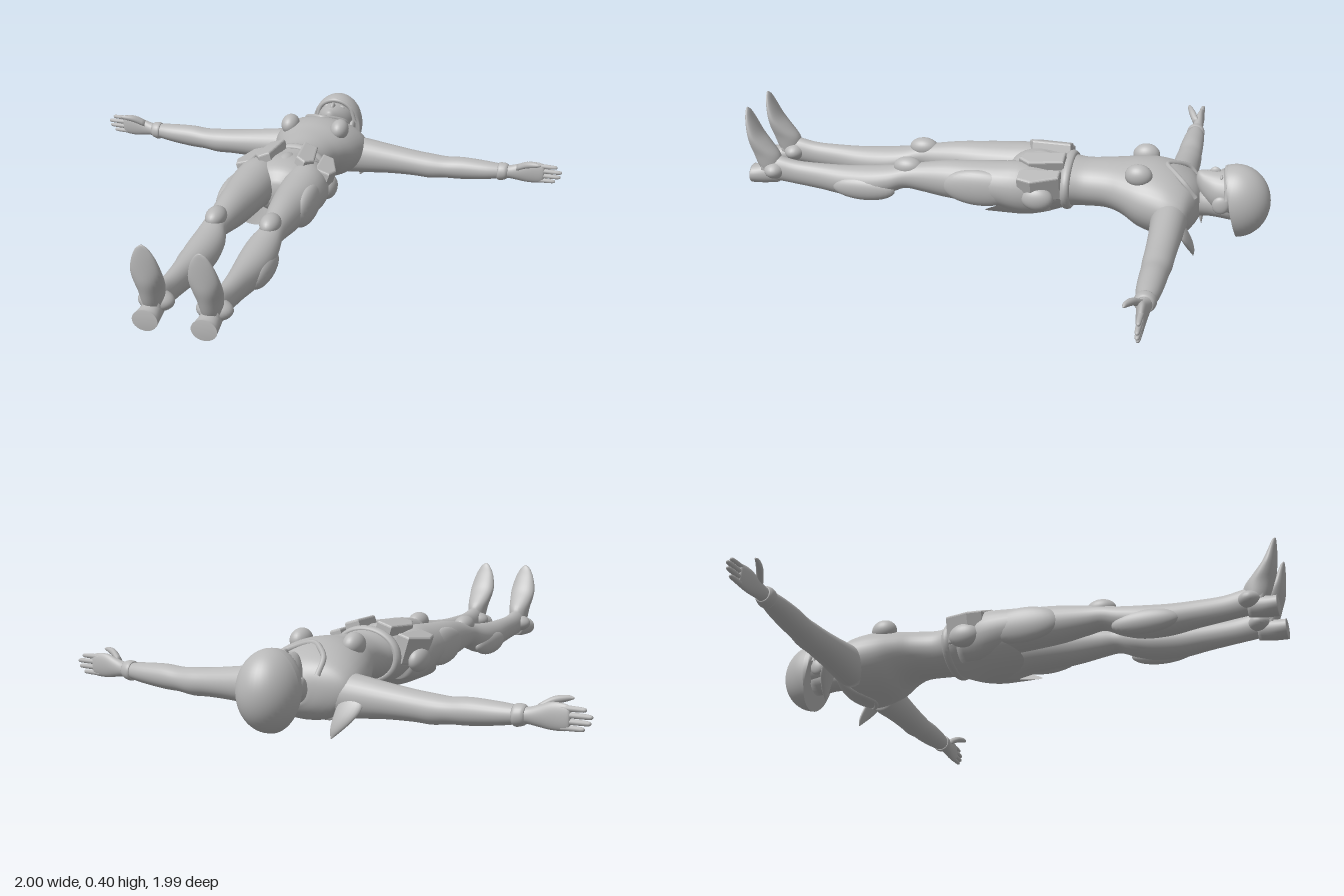
import * as THREE from 'three';

const suit = new THREE.MeshStandardMaterial({ color: 0xb8b8b8 });
suit.name = 'plainGrey';
const sheet = new THREE.MeshStandardMaterial({ color: 0xb8b8b8, side: THREE.DoubleSide });
sheet.name = 'plainGreySheet';

// Smooth closed loft along an axis; rows are [t, a, b, radiusA, radiusB] with t increasing.
// axis z: a=x b=y, axis x: a=y b=z, axis y: a=z b=x
function loft(rows, axis = 'z', sides = 28, sub = 4) {
  const centres = new THREE.CatmullRomCurve3(rows.map(r => new THREE.Vector3(r[0], r[1], r[2])), false, 'catmullrom', 0.5);
  const radii = new THREE.CatmullRomCurve3(rows.map(r => new THREE.Vector3(r[3], r[4], 0)), false, 'catmullrom', 0.5);
  const n = (rows.length - 1) * sub, pos = [], idx = [];
  const put = (t, a, b) => {
    if (axis === 'z') pos.push(a, b, t);
    else if (axis === 'x') pos.push(t, a, b);
    else pos.push(b, t, a);
  };
  for (let i = 0; i <= n; i++) {
    const c = centres.getPoint(i / n), r = radii.getPoint(i / n);
    for (let j = 0; j < sides; j++) {
      const th = j / sides * Math.PI * 2;
      put(c.x, c.y + r.x * Math.cos(th), c.z + r.y * Math.sin(th));
    }
  }
  const first = rows[0], last = rows[rows.length - 1], p0 = (n + 1) * sides;
  put(first[0], first[1], first[2]);
  put(last[0], last[1], last[2]);
  for (let j = 0; j < sides; j++) {
    const k = (j + 1) % sides;
    for (let i = 0; i < n; i++) {
      const a = i * sides + j, b = i * sides + k;
      idx.push(a, b, b + sides, a, b + sides, a + sides);
    }
    idx.push(p0, k, j, p0 + 1, n * sides + j, n * sides + k);
  }
  const g = new THREE.BufferGeometry();
  g.setAttribute('position', new THREE.Float32BufferAttribute(pos, 3));
  g.setIndex(idx);
  g.computeVertexNormals();
  return g;
}

function ball(x, y, z, rx, ry, rz) {
  return new THREE.SphereGeometry(1, 28, 18).scale(rx, ry, rz).translate(x, y, z);
}

function tube(points, r) {
  return new THREE.TubeGeometry(new THREE.CatmullRomCurve3(points.map(p => new THREE.Vector3(...p))), 28, r, 8);
}

// Bevelled plate drawn in x,z; its top lies at height y and tilts about the z axis
function plate(points, y, depth, tilt) {
  const shape = new THREE.Shape(points.map(p => new THREE.Vector2(...p)));
  const g = new THREE.ExtrudeGeometry(shape, { depth, bevelSize: 0.008, bevelThickness: 0.008, bevelSegments: 3 });
  g.rotateX(Math.PI / 2);
  const cx = points.reduce((s, p) => s + p[0], 0) / points.length;
  return g.translate(-cx, 0, 0).rotateZ(tilt).translate(cx, y, 0);
}

function mirrored(g) {
  const m = g.clone().scale(-1, 1, 1);
  if (!m.index) m.setIndex([...Array(m.attributes.position.count).keys()]);
  const a = m.index.array;
  for (let i = 0; i < a.length; i += 3) [a[i], a[i + 1]] = [a[i + 1], a[i]];
  return m;
}

export function createModel() {
  const model = new THREE.Group();
  model.name = 'recliningFigure';
  const add = (name, g, mat = suit) => {
    const m = new THREE.Mesh(g, mat);
    m.name = name;
    model.add(m);
  };
  const pair = (name, g) => {
    add(name + 'Left', g);
    add(name + 'Right', mirrored(g));
  };

  // Torso, from shoulders to hips
  add('torso', loft([
    [-0.74, 0, 0.15, 0.05, 0.05], [-0.72, 0, 0.15, 0.12, 0.08], [-0.69, 0, 0.15, 0.18, 0.105],
    [-0.64, 0, 0.155, 0.195, 0.125], [-0.58, 0, 0.165, 0.187, 0.13], [-0.52, 0, 0.175, 0.17, 0.122],
    [-0.46, 0, 0.19, 0.143, 0.1], [-0.4, 0, 0.195, 0.118, 0.09], [-0.32, 0, 0.19, 0.107, 0.088],
    [-0.26, 0, 0.19, 0.12, 0.092], [-0.2, 0, 0.183, 0.15, 0.1], [-0.12, 0, 0.178, 0.162, 0.11],
    [-0.05, 0, 0.178, 0.12, 0.09], [-0.01, 0, 0.178, 0.04, 0.04]], 'z', 40));
  pair('chestPod', ball(0.105, 0.275, -0.52, 0.037, 0.042, 0.05));
  add('collar', tube([[-0.085, 0.2, -0.725], [-0.085, 0.25, -0.685], [-0.05, 0.274, -0.645], [0, 0.287, -0.61],
    [0.05, 0.274, -0.645], [0.085, 0.25, -0.685], [0.085, 0.2, -0.725]], 0.01));
  add('backYoke', tube([[-0.15, 0.09, -0.69], [-0.1, 0.05, -0.65], [0, 0.035, -0.6], [0.1, 0.05, -0.65], [0.15, 0.09, -0.69]], 0.009));

  // Head, face and helmet
  add('neck', loft([[-0.86, 0, 0.15, 0.055, 0.055], [-0.78, 0, 0.155, 0.052, 0.052],
    [-0.73, 0, 0.155, 0.058, 0.056], [-0.69, 0, 0.155, 0.08, 0.07]]));
  add('face', loft([[-0.9, 0, 0.19, 0.08, 0.08], [-0.84, 0, 0.2, 0.078, 0.08], [-0.79, 0, 0.205, 0.068, 0.075],
    [-0.75, 0, 0.222, 0.045, 0.055], [-0.725, 0, 0.24, 0.022, 0.033], [-0.718, 0, 0.243, 0.008, 0.012]]));
  add('nose', ball(0, 0.276, -0.785, 0.01, 0.018, 0.02));
  add('lips', ball(0, 0.268, -0.753, 0.018, 0.01, 0.007));
  pair('eye', ball(0.03, 0.266, -0.81, 0.016, 0.01, 0.007));
  add('browBand', tube([[-0.085, 0.2, -0.835], [-0.06, 0.265, -0.832], [0, 0.292, -0.825], [0.06, 0.265, -0.832], [0.085, 0.2, -0.835]], 0.009));
  pair('earDisc', ball(0.08, 0.178, -0.815, 0.014, 0.033, 0.03));
  // Helmet opening is flattened along a slanted plane
  const helmet = new THREE.SphereGeometry(1, 40, 32).scale(0.108, 0.137, 0.123).translate(0, 0.17, -0.866);
  const hp = helmet.attributes.position;
  for (let i = 0; i < hp.count; i++) {
    const limit = -0.88 + (hp.getY(i) - 0.035) * 0.23;
    if (hp.getZ(i) > limit) hp.setZ(i, limit);
  }
  helmet.computeVertexNormals();
  add('helmet', helmet);

  // Arms, hands and shoulder fins
  pair('arm', loft([
    [0.12, 0.13, -0.64, 0.08, 0.068], [0.2, 0.128, -0.642, 0.072, 0.063], [0.3, 0.125, -0.643, 0.06, 0.057],
    [0.4, 0.12, -0.643, 0.052, 0.053], [0.47, 0.116, -0.643, 0.05, 0.052], [0.53, 0.118, -0.643, 0.044, 0.048],
    [0.6, 0.122, -0.643, 0.045, 0.046], [0.7, 0.126, -0.643, 0.037, 0.04], [0.78, 0.13, -0.644, 0.027, 0.026],
    [0.82, 0.133, -0.645, 0.033, 0.022], [0.87, 0.138, -0.647, 0.044, 0.018], [0.92, 0.138, -0.65, 0.04, 0.013],
    [0.93, 0.138, -0.65, 0.02, 0.006]], 'x'));
  pair('wristBand', loft([[0.745, 0.128, -0.643, 0.033, 0.034], [0.755, 0.128, -0.643, 0.037, 0.037],
    [0.775, 0.13, -0.643, 0.034, 0.034], [0.785, 0.13, -0.644, 0.028, 0.027]], 'x'));
  [[0.167, 0.98], [0.147, 1], [0.127, 0.995], [0.107, 0.975]].forEach(([y, tip], i) =>
    pair('finger' + (i + 1), loft([[0.9, y, -0.65, 0.01, 0.01], [tip - 0.03, y, -0.65, 0.009, 0.009],
      [tip - 0.006, y, -0.651, 0.007, 0.007], [tip, y, -0.651, 0.002, 0.002]], 'x', 10, 3)));
  pair('thumb', loft([[0.82, 0.155, -0.635, 0.014, 0.014], [0.86, 0.178, -0.615, 0.014, 0.014],
    [0.9, 0.187, -0.6, 0.01, 0.009], [0.92, 0.188, -0.597, 0.003, 0.003]], 'x', 12));
  pair('shoulderFin', loft([[0.0, -0.735, 0.142, 0.001, 0.002], [0.03, -0.73, 0.158, 0.009, 0.022],
    [0.07, -0.717, 0.18, 0.014, 0.04], [0.11, -0.7, 0.195, 0.014, 0.045], [0.14, -0.69, 0.2, 0.005, 0.02]], 'y', 20));

  // Belt, hip panels and back skirt
  add('belt', new THREE.TorusGeometry(1, 0.13, 10, 48).scale(0.123, 0.094, 0.14).translate(0, 0.19, -0.252));
  add('frontGuard', ball(0, 0.217, -0.145, 0.052, 0.076, 0.09));
  pair('frontPanel', plate([[0.045, -0.235], [0.09, -0.235], [0.112, -0.12], [0.09, -0.085], [0.06, -0.1]], 0.295, 0.035, -0.3));
  pair('hipPanel', plate([[0.125, -0.23], [0.158, -0.23], [0.194, -0.14], [0.182, -0.095], [0.135, -0.095]], 0.255, 0.09, -0.3));
  pair('hipPod', ball(0.165, 0.172, -0.16, 0.034, 0.046, 0.06));
  const skirt = new THREE.PlaneGeometry(2, 1, 40, 14), sp = skirt.attributes.position;
  for (let i = 0; i < sp.count; i++) {
    const u = sp.getX(i), v = sp.getY(i) + 0.5, ang = u * 1.25;
    const len = 0.2 + 0.1 * Math.abs(Math.sin(u * Math.PI));
    const flare = Math.sin(Math.min(v * 1.6, 1) * Math.PI / 2);
    sp.setXYZ(i, Math.sin(ang) * (0.128 + 0.05 * flare), 0.19 - Math.cos(ang) * (0.095 + 0.045 * flare), -0.25 + len * v);
  }
  skirt.computeVertexNormals();
  add('backSkirt', skirt, sheet);

  // Legs with armour panels
  pair('leg', loft([
    [-0.2, 0.085, 0.178, 0.07, 0.08], [-0.1, 0.096, 0.183, 0.087, 0.098], [0, 0.1, 0.19, 0.085, 0.085],
    [0.1, 0.1, 0.189, 0.076, 0.078], [0.2, 0.1, 0.188, 0.063, 0.071], [0.3, 0.102, 0.187, 0.05, 0.055],
    [0.36, 0.105, 0.184, 0.046, 0.046], [0.42, 0.1, 0.165, 0.058, 0.053], [0.5, 0.1, 0.148, 0.062, 0.06],
    [0.6, 0.1, 0.141, 0.054, 0.058], [0.7, 0.1, 0.146, 0.042, 0.051], [0.8, 0.1, 0.152, 0.035, 0.047],
    [0.88, 0.1, 0.163, 0.035, 0.05], [0.94, 0.1, 0.165, 0.03, 0.045]]));
  pair('thighPanel', ball(0.15, 0.185, 0.06, 0.036, 0.07, 0.145));
  pair('calfPanel', ball(0.138, 0.13, 0.52, 0.032, 0.046, 0.125));
  pair('kneePad', ball(0.102, 0.223, 0.35, 0.037, 0.037, 0.056));

  // Boots
  pair('ankleGuard', ball(0.1, 0.16, 0.888, 0.062, 0.036, 0.045));
  pair('foot', loft([
    [0.15, 0.91, 0.1, 0.035, 0.03], [0.18, 0.913, 0.1, 0.048, 0.036], [0.22, 0.923, 0.099, 0.052, 0.042],
    [0.26, 0.946, 0.098, 0.041, 0.05], [0.3, 0.966, 0.097, 0.026, 0.052], [0.35, 0.981, 0.096, 0.015, 0.04],
    [0.385, 0.989, 0.096, 0.008, 0.022], [0.4, 0.993, 0.095, 0.003, 0.005]], 'y'));
  pair('heel', loft([[0.88, 0.1, 0.145, 0.03, 0.04], [0.93, 0.1, 0.137, 0.036, 0.039],
    [0.97, 0.1, 0.133, 0.042, 0.036], [0.985, 0.1, 0.133, 0.044, 0.036]]));
  return model;
}
